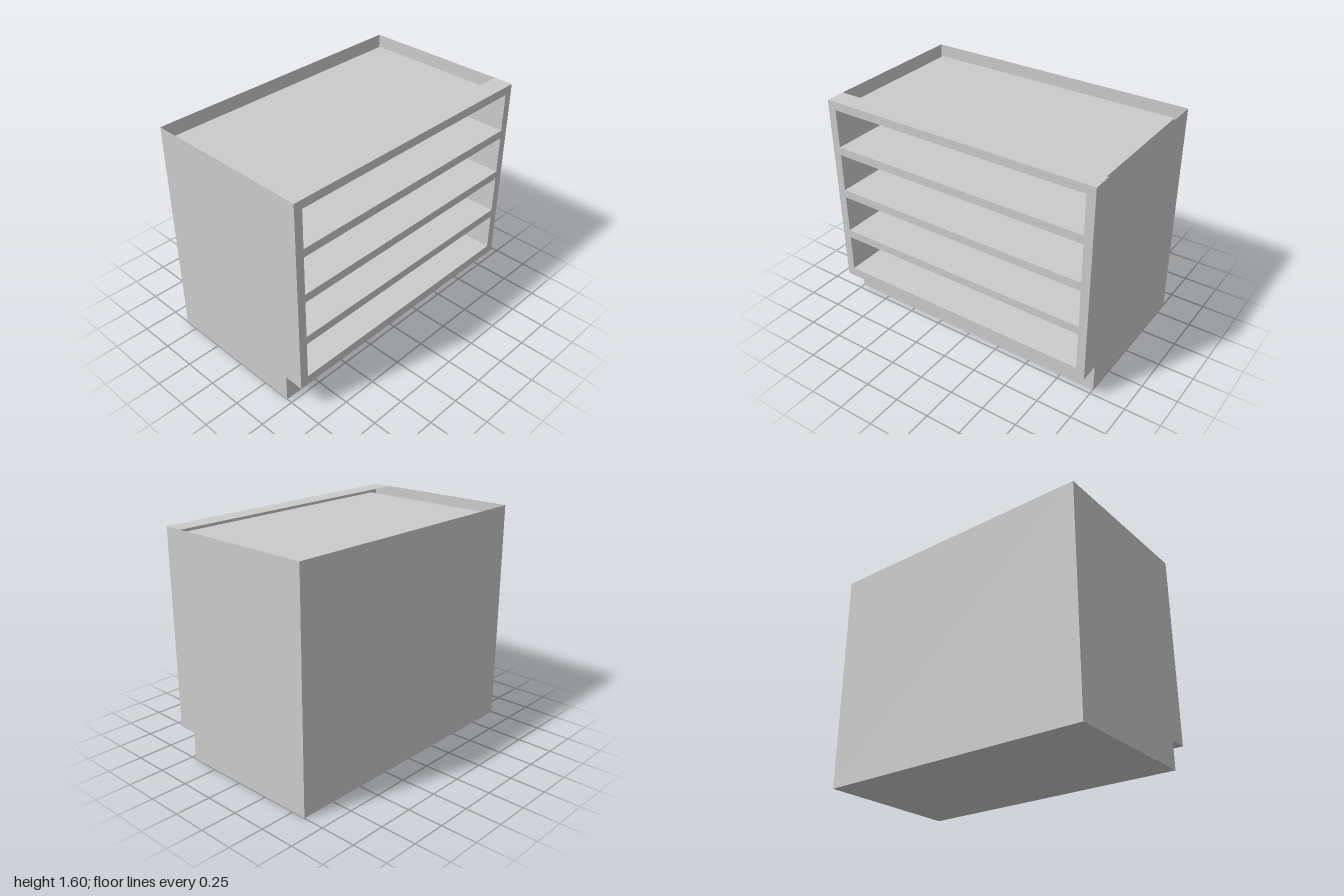
import * as THREE from 'three';

const material = new THREE.MeshStandardMaterial({ color: 0xcccccc, side: THREE.DoubleSide });

// Cabinet extents, toe-kick notch and the drawer bays
const X = 1, Z = 0.6, TOP = 1.6, KICK_Y = 0.2, KICK_Z = 0.46;
const BAY_X = 0.94, BAY_BACK = -0.54, BAY_H = 0.2733, BAY_PITCH = 0.3333, BAY_Y = 0.2667, BAYS = 4;

function add(parent, name, geometry, x = 0, y = 0, z = 0) {
  const mesh = new THREE.Mesh(geometry, material);
  mesh.name = name;
  mesh.position.set(x, y, z);
  parent.add(mesh);
  return mesh;
}

// Thin sheets: upright facing +z, level facing up, and upright facing +x
const upright = (w, h) => new THREE.PlaneGeometry(w, h);
const level = (w, d) => new THREE.PlaneGeometry(w, d).rotateX(-Math.PI / 2);
const sideways = (d, h) => new THREE.PlaneGeometry(d, h).rotateY(Math.PI / 2);

const points = (list) => list.map(([x, y]) => new THREE.Vector2(x, y));
const rectangle = (x, y0, y1) => points([[-x, y0], [x, y0], [x, y1], [-x, y1]]);

export function createModel() {
  const model = new THREE.Group();
  model.name = 'drawerCabinet';

  // Side panels with the toe-kick notch
  const profile = new THREE.Shape(points([
    [-KICK_Z, 0], [Z, 0], [Z, TOP], [-Z, TOP], [-Z, KICK_Y], [-KICK_Z, KICK_Y],
  ]));
  for (const [name, x] of [['leftSide', X], ['rightSide', -X]]) {
    const geometry = new THREE.ShapeGeometry(profile).rotateY(Math.PI / 2);
    if (x < 0) {
      // Turn the right panel's faces outward
      const index = geometry.index.array;
      for (let i = 0; i < index.length; i += 3) {
        [index[i], index[i + 1]] = [index[i + 1], index[i]];
      }
      geometry.computeVertexNormals();
    }
    add(model, name, geometry, x);
  }

  // Back, base and toe kick
  add(model, 'backPanel', upright(2 * X, TOP).rotateY(Math.PI), 0, TOP / 2, -Z);
  add(model, 'basePanel', level(2 * X, Z + KICK_Z).rotateX(Math.PI), 0, 0, (KICK_Z - Z) / 2);
  add(model, 'toeKick', upright(2 * X, KICK_Y), 0, KICK_Y / 2, KICK_Z);
  add(model, 'toeKickSoffit', level(2 * X, Z - KICK_Z).rotateX(Math.PI), 0, KICK_Y, (Z + KICK_Z) / 2);

  // Rail along the front of the open top
  add(model, 'topRail', level(2 * X, Z - KICK_Z), 0, TOP, (Z + KICK_Z) / 2);

  // Front frame with one opening per bay
  const frame = new THREE.Shape(rectangle(X, KICK_Y, TOP));
  for (let i = 0; i < BAYS; i++) {
    const y = BAY_Y + i * BAY_PITCH;
    frame.holes.push(new THREE.Path(rectangle(BAY_X, y, y + BAY_H).reverse()));
  }
  add(model, 'frontFrame', new THREE.ShapeGeometry(frame), 0, 0, Z);

  // Drawer bays: five thin walls, open at the front
  const depth = Z - BAY_BACK, middle = (Z + BAY_BACK) / 2;
  for (let i = 0; i < BAYS; i++) {
    const bay = new THREE.Group();
    bay.name = `drawerBay${i + 1}`;
    bay.position.y = BAY_Y + i * BAY_PITCH;
    add(bay, 'bayFloor', level(2 * BAY_X, depth), 0, 0, middle);
    add(bay, 'bayCeiling', level(2 * BAY_X, depth), 0, BAY_H, middle);
    add(bay, 'bayBack', upright(2 * BAY_X, BAY_H), 0, BAY_H / 2, BAY_BACK);
    add(bay, 'bayLeftWall', sideways(depth, BAY_H), BAY_X, BAY_H / 2, middle);
    add(bay, 'bayRightWall', sideways(depth, BAY_H), -BAY_X, BAY_H / 2, middle);
    model.add(bay);
  }

  return model;
}
